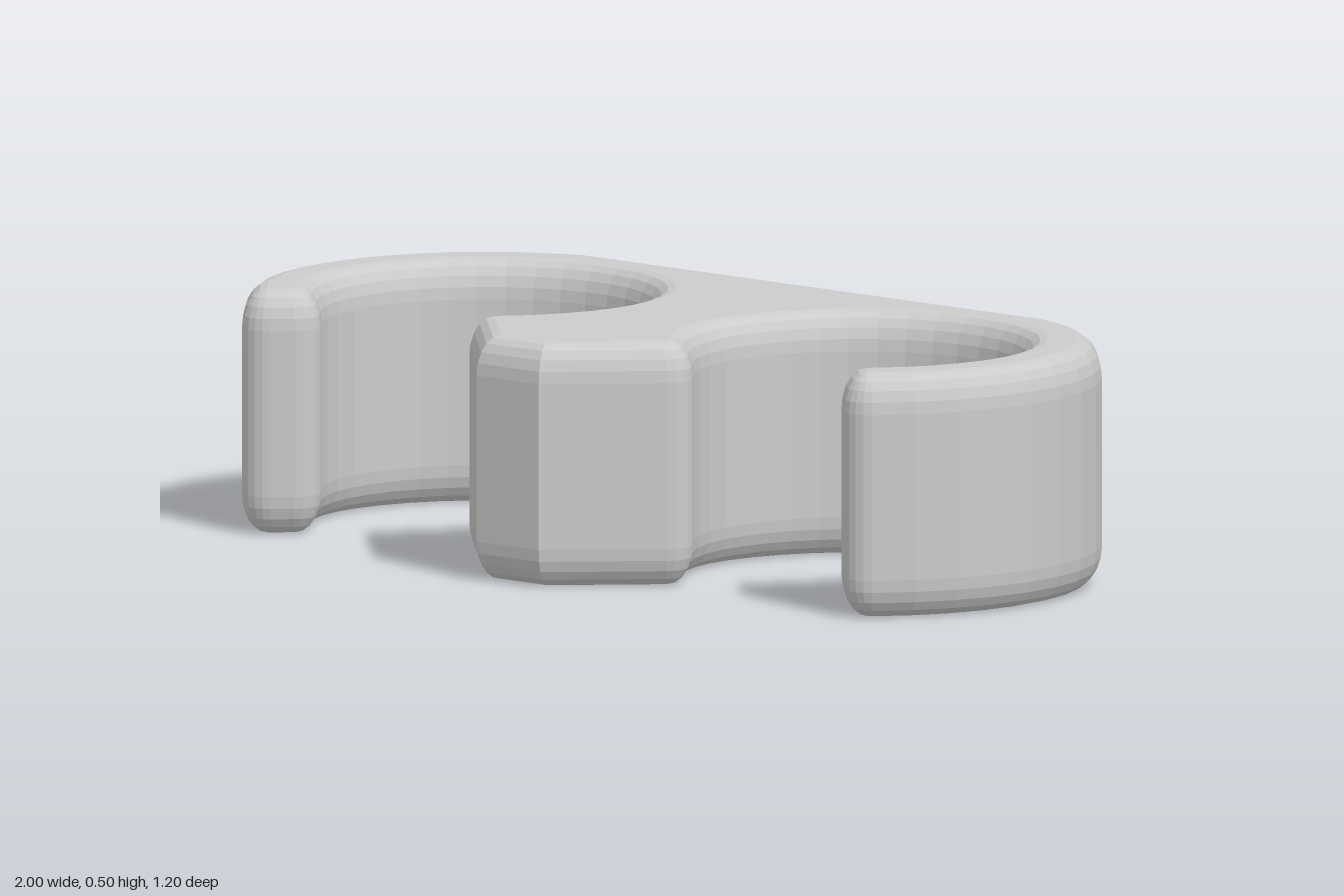
import * as THREE from 'three';

const HEIGHT = 0.5, BEVEL = 0.05, BEVEL_H = 0.08;
const RING = [0.505, 0.1];                    // centre (x, z) of each clip ring
const INNER = 0.335, OUTER = 0.495, CORNER = 0.056;
const TIP = [0, -0.4], TIP_R = 0.2;           // rounded tip around the hole
const TAPER_Z = -0.33, TAPER_SLOPE = 0.5;     // where the tip starts to thin
const rad = THREE.MathUtils.degToRad;

// Points (x, z) along an arc, angles in degrees
function arc([cx, cz], r, from, to, steps) {
  return Array.from({ length: steps + 1 }, (_, i) => {
    const a = rad(from + (to - from) * i / steps);
    return new THREE.Vector2(cx + r * Math.cos(a), cz + r * Math.sin(a));
  });
}

// A point on a ring at a given radius and angle
const onRing = (r, deg) => [RING[0] + r * Math.cos(rad(deg)), RING[1] + r * Math.sin(rad(deg))];

// Outline of the +x half, from the tip round the arm to the middle post
function halfOutline() {
  const tangent = -69.8;
  const post = onRing(INNER + CORNER, 135);
  const pts = [
    ...arc(TIP, TIP_R, -90, tangent, 3),
    ...arc(RING, OUTER, tangent, 45, 11),
    ...arc(onRing(OUTER - CORNER, 45), CORNER, 45, 135, 5),
    ...arc(onRing(INNER + CORNER, 45), CORNER, 135, 225, 5),
    ...arc(RING, INNER, 45, -225, 27),
    ...arc(post, CORNER, -45, 45, 5),
    new THREE.Vector2(post[0] + post[1] + CORNER * Math.SQRT2 - 0.6, 0.6),
  ];
  return pts.filter((p, i) => i === 0 || p.distanceTo(pts[i - 1]) > 1e-4);
}

// Cut every triangle along the plane z = cut, so the surface can fold there
function splitAtZ(geometry, cut) {
  const pos = geometry.toNonIndexed().attributes.position;
  const out = [];
  for (let i = 0; i < pos.count; i += 3) {
    const tri = [0, 1, 2].map(k => new THREE.Vector3().fromBufferAttribute(pos, i + k));
    for (const side of [1, -1]) {
      const poly = [];
      tri.forEach((a, k) => {
        const b = tri[(k + 1) % 3];
        const da = side * (a.z - cut), db = side * (b.z - cut);
        if (da >= 0) poly.push(a);
        if (da * db < 0) poly.push(a.clone().lerp(b, da / (da - db)));
      });
      for (let k = 1; k + 1 < poly.length; k++) {
        const [a, b, c] = [poly[0], poly[k], poly[k + 1]];
        const area = b.clone().sub(a).cross(c.clone().sub(a)).length();
        if (area > 1e-9) out.push(...a.toArray(), ...b.toArray(), ...c.toArray());
      }
    }
  }
  return new THREE.BufferGeometry().setAttribute('position', new THREE.Float32BufferAttribute(out, 3));
}

export function createModel() {
  // Mirrored outline with the hole in the tip
  const half = halfOutline();
  const mirrored = half.slice(1).reverse().map(p => new THREE.Vector2(-p.x, p.y));
  const flip = p => new THREE.Vector2(p.x, -p.y);
  const shape = new THREE.Shape([...half, ...mirrored].map(flip));
  shape.holes.push(new THREE.Path(arc(TIP, 0.085, 0, 345, 23).map(flip)));

  // Rounded plate lying flat, centred on y = 0
  const depth = HEIGHT - 2 * BEVEL_H;
  const plate = new THREE.ExtrudeGeometry(shape, {
    depth, bevelEnabled: true, bevelSize: BEVEL, bevelOffset: -BEVEL,
    bevelThickness: BEVEL_H, bevelSegments: 5,
  });
  plate.translate(0, 0, -depth / 2).rotateX(-Math.PI / 2);

  // Thin the tip from above and below, keeping its rounded edge
  const geometry = splitAtZ(plate, TAPER_Z);
  const pos = geometry.attributes.position;
  for (let i = 0; i < pos.count; i++) {
    const y = pos.getY(i);
    const drop = Math.max(0, TAPER_Z - pos.getZ(i)) * TAPER_SLOPE;
    pos.setY(i, y - Math.sign(y) * drop + HEIGHT / 2);
  }
  geometry.computeVertexNormals();

  const body = new THREE.Mesh(geometry, new THREE.MeshStandardMaterial({ color: 0xcccccc, flatShading: true }));
  body.name = 'doubleClipBody';
  const group = new THREE.Group();
  group.name = 'doubleClip';
  group.add(body);
  return group;
}
